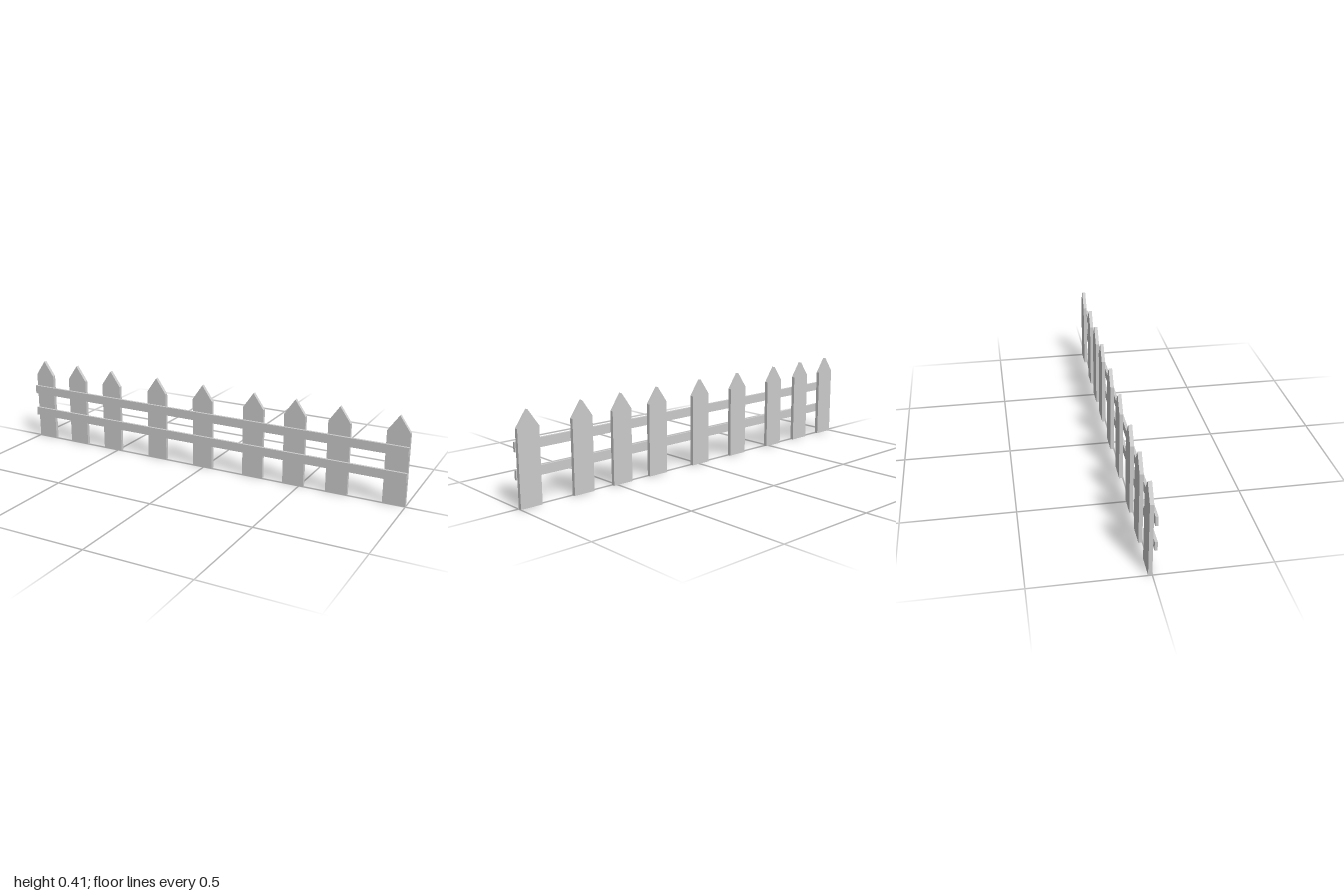
import * as THREE from 'three';

export function createModel() {
  const fence = new THREE.Group();
  fence.name = 'picketFence';
  const material = new THREE.MeshStandardMaterial({ color: 0xcccccc, flatShading: true });

  // Pointed boards, unevenly spaced, behind the rails
  const half = 0.052, shoulder = 0.339, tip = 0.413, thickness = 0.017;
  const outline = new THREE.Shape([
    [-half, 0], [half, 0], [half, shoulder], [0, tip], [-half, shoulder],
  ].map(([x, y]) => new THREE.Vector2(x, y)));
  const picketGeometry = new THREE.ExtrudeGeometry(outline, { depth: thickness, bevelEnabled: false });
  picketGeometry.translate(0, 0, -thickness);
  const centres = [-0.948, -0.742, -0.532, -0.264, -0.008, 0.26, 0.468, 0.68, 0.947];
  centres.forEach((x, i) => {
    const picket = new THREE.Mesh(picketGeometry, material);
    picket.name = `picket${i + 1}`;
    picket.position.x = x;
    fence.add(picket);
  });

  // Two long rails standing just clear of the boards' front
  const railGeometry = new THREE.BoxGeometry(2, 0.042, 0.012);
  for (const [name, y] of [['lowerRail', 0.141], ['upperRail', 0.26]]) {
    const rail = new THREE.Mesh(railGeometry, material);
    rail.name = name;
    rail.position.set(0, y, 0.012);
    fence.add(rail);
  }
  return fence;
}
